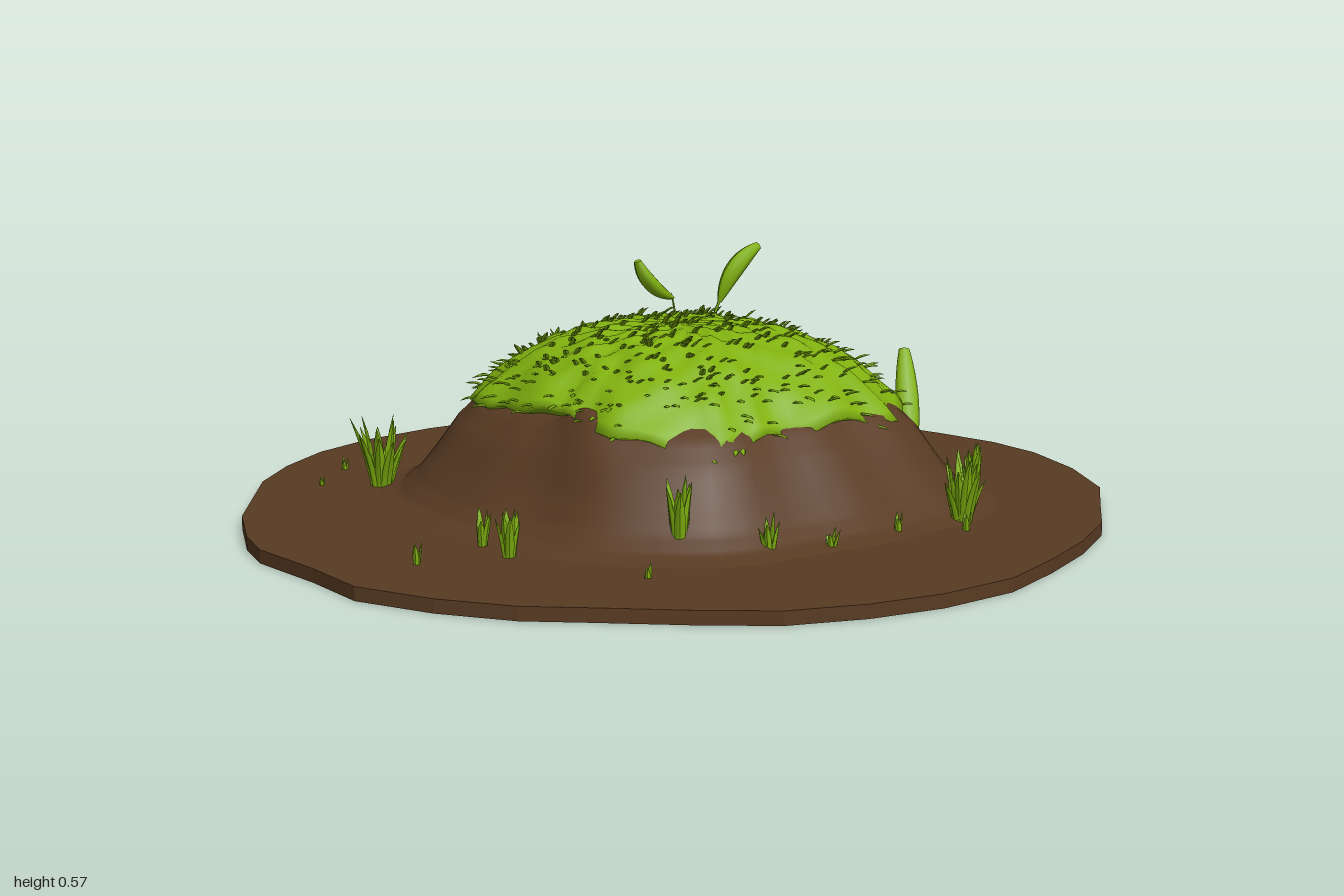
import * as THREE from 'three';
import { mergeGeometries, mergeVertices } from 'three/addons/utils/BufferGeometryUtils.js';

const V = (x, y, z) => new THREE.Vector3(x, y, z);
const TAU = Math.PI * 2;
const CX = 0.03, CZ = -0.03; // centre of the mound

// Seeded random numbers
let seed = 7;
const rnd = () => {
  seed = (seed * 16807) % 2147483647;
  return seed / 2147483647;
};
const spread = (s) => (rnd() * 2 - 1) * s;

// Sixteen values around a circle, from +x towards +z
function around(list, a) {
  const n = list.length;
  const f = (((a / TAU) % 1 + 1) % 1) * n;
  const i = Math.floor(f) % n, k = f - Math.floor(f);
  const s = k * k * (3 - 2 * k);
  return list[i] * (1 - s) + list[(i + 1) % n] * s;
}
const capRadius = [0.45, 0.48, 0.5, 0.43, 0.41, 0.46, 0.45, 0.4, 0.42, 0.46, 0.475, 0.44, 0.43, 0.47, 0.49, 0.44];
const capEdge = [0.24, 0.24, 0.225, 0.25, 0.24, 0.215, 0.245, 0.28, 0.27, 0.25, 0.24, 0.24, 0.24, 0.23, 0.25, 0.24];

// Closed dome from rings: rule(angle, v), v = 0 at the middle, 1 at the rim
function dome(nu, nv, rule) {
  const g = new THREE.PlaneGeometry(1, 1, nu, nv);
  const p = g.attributes.position;
  for (let i = 0; i < p.count; i++) {
    const u = (p.getX(i) + 0.5) % 1;
    const q = rule(-u * TAU, 0.5 - p.getY(i));
    p.setXYZ(i, q.x, q.y, q.z);
  }
  g.deleteAttribute('uv');
  g.deleteAttribute('normal');
  const m = mergeVertices(g, 1e-5);
  m.computeVertexNormals();
  return m;
}
const polar = (a, r, y) => V(CX + Math.cos(a) * r, y, CZ + Math.sin(a) * r);

// Bump of height 1 centred on the angle c
const ridge = (a, c) => Math.exp((Math.cos(a - c) - 1) / 0.0125);

// Piecewise profile of the soil: distance beyond the grass edge, height
const slope = [[-0.06, 0.28], [0, 0.245], [0.05, 0.195], [0.1, 0.125], [0.14, 0.075], [0.18, 0.042], [0.25, 0.025]];
function soilPoint(a, v) {
  const R = around(capRadius, a);
  if (v < 0.2) return polar(a, (R - 0.06) * v / 0.2, 0.34 - 0.06 * (v / 0.2) ** 2);
  const f = (v - 0.2) / 0.8 * (slope.length - 1);
  const i = Math.min(Math.floor(f), slope.length - 2), k = f - i;
  const off = slope[i][0] * (1 - k) + slope[i + 1][0] * k;
  const y = slope[i][1] * (1 - k) + slope[i + 1][1] * k;
  // two raised ridges of bare soil
  const raised = (ridge(a, 2.62) * 0.05 + ridge(a, 5.6) * 0.03) * Math.max(0, 1 - Math.abs(off) / 0.1);
  return polar(a, R + off, y + raised);
}

// Grass dome, tucked back in below its rim
function capPoint(a, v) {
  const R = around(capRadius, a), e = around(capEdge, a);
  const t = Math.min(v / 0.9, 1);
  const wob = 0.004 * Math.sin(a * 11 + v * 23) + 0.003 * Math.sin(a * 19 - v * 31);
  const jag = t * t * 0.007 * Math.sin(a * 17 + Math.sin(a * 7) * 2);
  const p = polar(a, t * (R + 0.012 + jag), e + jag + (0.423 - e) * (1 - t ** 3.1) + wob * Math.min(1, t * 3));
  if (v > 0.9) {
    const k = (v - 0.9) / 0.1;
    p.x -= Math.cos(a) * 0.06 * k;
    p.z -= Math.sin(a) * 0.06 * k;
    p.y -= 0.02 * k;
  }
  return p;
}

// Tapered, bent blade running from base to tip
function blade(base, tip, width, bend, { flat = 0.4, leaf = false, sides = 5, steps = 5, face = null } = {}) {
  const curve = new THREE.QuadraticBezierCurve3(base, base.clone().lerp(tip, 0.5).add(bend), tip);
  const g = new THREE.CylinderGeometry(1, 1, 1, sides, steps);
  const p = g.attributes.position;
  const axis = tip.clone().sub(base).normalize();
  const ref = face || V(axis.z + 0.01, 0, -axis.x + 0.02);
  for (let i = 0; i < p.count; i++) {
    const t = p.getY(i) + 0.5;
    const tan = curve.getTangent(t);
    const nrm = ref.clone().cross(tan).normalize();
    const side = tan.clone().cross(nrm).normalize();
    const w = width * (leaf ? 0.2 + 0.8 * Math.sin(Math.PI * Math.min(1, t * 0.92)) ** 0.8 : 0.7 + 0.6 * t - 1.22 * t ** 3);
    const q = curve.getPoint(t).addScaledVector(side, p.getX(i) * w).addScaledVector(nrm, p.getZ(i) * w * flat);
    p.setXYZ(i, q.x, q.y, q.z);
  }
  g.computeVertexNormals();
  return g;
}

// Fan of blades growing from one spot
function tuft(x, z, y, h, r, n) {
  const list = [];
  for (let i = 0; i < n; i++) {
    const a = i * 2.4 + spread(0.3);
    const out = r * (n < 4 ? 0.6 : 0.35 + 0.65 * ((i + 1) / n));
    const d = V(Math.cos(a), 0, Math.sin(a));
    const base = V(x, y - 0.015, z).addScaledVector(d, r * 0.25);
    const tip = V(x, y + h * (1 - 0.4 * rnd() * (i > 0 ? 1 : 0)), z).addScaledVector(d, out);
    list.push(blade(base, tip, Math.min(0.018, 0.006 + h * 0.06), d.clone().multiplyScalar(-r * 0.2)));
  }
  return mergeGeometries(list);
}

export function createModel() {
  const group = new THREE.Group();
  const soil = new THREE.MeshStandardMaterial({ color: 0x593b23 });
  soil.name = 'soil brown';
  const grass = new THREE.MeshStandardMaterial({ color: 0x80b10f });
  grass.name = 'grass green';
  const add = (name, geometry, material) => {
    const m = new THREE.Mesh(geometry, material);
    m.name = name;
    group.add(m);
  };

  // Irregular flat ground disc
  const rim = [
    [0.03, -0.99], [0.2, -0.97], [0.36, -0.93], [0.52, -0.86], [0.64, -0.77], [0.76, -0.63], [0.85, -0.47], [0.93, -0.28],
    [0.985, -0.12], [1, 0.03], [0.97, 0.22], [0.9, 0.41], [0.79, 0.55], [0.69, 0.68], [0.55, 0.79], [0.4, 0.88], [0.24, 0.96],
    [0.05, 0.99], [-0.12, 0.98], [-0.29, 0.94], [-0.44, 0.85], [-0.6, 0.74], [-0.72, 0.66], [-0.84, 0.53], [-0.94, 0.37],
    [-0.96, 0.2], [-1, 0], [-0.985, -0.12], [-0.93, -0.3], [-0.85, -0.45], [-0.77, -0.6], [-0.66, -0.73], [-0.53, -0.84],
    [-0.37, -0.92], [-0.18, -0.97],
  ];
  const shape = new THREE.Shape(rim.map(([x, z]) => new THREE.Vector2(x, -z)));
  add('groundDisc', new THREE.ExtrudeGeometry(shape, { depth: 0.03, bevelEnabled: false }).rotateX(-Math.PI / 2), soil);

  add('soilMound', dome(64, 30, soilPoint), soil);
  add('grassCap', dome(96, 30, capPoint), grass);

  // Short blades combed forward over the cap
  const fuzz = [];
  for (let i = 0; i < 520; i++) {
    const a = rnd() * TAU, v = 0.9 * Math.sqrt(rnd());
    const base = capPoint(a, v);
    const steep = (v / 0.9) ** 3;
    const dir = V(Math.cos(a) * steep * 0.8 + spread(0.25), 0.35 - steep * 0.5 + spread(0.15), Math.sin(a) * steep * 0.8 + 0.7 * (1 - steep));
    const tip = base.clone().addScaledVector(dir.normalize(), 0.025 + rnd() * 0.02);
    base.y -= 0.004;
    fuzz.push(blade(base, tip, 0.008, V(0, 0.006, 0), { sides: 4, steps: 3 }));
  }
  add('capBlades', mergeGeometries(fuzz), grass);

  // Two leafy sprouts on top
  const Z = -0.185, front = V(0, 0, 1);
  add('sprouts', mergeGeometries([
    blade(V(0.1, 0.455, Z), V(0.005, 0.548, Z), 0.024, V(-0.02, -0.022, 0), { leaf: true, flat: 0.75, face: front, steps: 10, sides: 8 }),
    blade(V(0.11, 0.39, Z), V(0.095, 0.47, Z), 0.005, V(0, 0, 0), { face: front }),
    blade(V(0.225, 0.435, Z), V(0.33, 0.563, Z), 0.026, V(-0.022, 0.025, 0), { leaf: true, flat: 0.8, face: front, steps: 10, sides: 8 }),
    blade(V(0.2, 0.38, Z), V(0.24, 0.475, Z), 0.007, V(0, 0, 0), { face: front }),
  ]), grass);

  // Tall blade beside the mound
  add('tallBlade', blade(V(0.595, 0.05, 0.085), V(0.655, 0.308, -0.04), 0.028, V(-0.01, 0, 0.015), { leaf: true, flat: 0.6, steps: 10, sides: 8 }), grass);

  // Tufts around the mound: x, z, base height, height, radius, blades
  [
    [-0.1, -0.68, 0.03, 0.17, 0.085, 16], [-0.54, -0.43, 0.03, 0.165, 0.075, 14], [0.69, -0.31, 0.03, 0.125, 0.065, 14],
    [0.43, 0.52, 0.03, 0.15, 0.06, 12], [0.62, 0.29, 0.03, 0.11, 0.035, 7], [-0.26, 0.48, 0.06, 0.14, 0.04, 8],
    [0.61, 0.06, 0.04, 0.1, 0.035, 6], [-0.09, 0.56, 0.03, 0.09, 0.025, 5], [0.05, 0.58, 0.03, 0.045, 0.02, 4],
    [0.24, 0.55, 0.03, 0.05, 0.015, 3], [-0.57, 0.31, 0.03, 0.1, 0.035, 7], [-0.58, 0.2, 0.04, 0.07, 0.025, 4],
    [-0.76, 0.27, 0.03, 0.045, 0.018, 3], [0.39, 0.59, 0.03, 0.04, 0.02, 3], [-0.4, 0.6, 0.03, 0.03, 0.012, 3],
    [0, -0.585, 0.03, 0.09, 0.032, 7], [0.22, -0.7, 0.03, 0.05, 0.022, 5], [0.4, -0.6, 0.03, 0.06, 0.025, 5],
    [0.76, 0.09, 0.03, 0.03, 0.012, 3], [0.02, -0.84, 0.03, 0.03, 0.014, 3], [0.07, -0.88, 0.03, 0.03, 0.01, 3],
    [-0.46, -0.7, 0.03, 0.03, 0.012, 3], [-0.55, -0.63, 0.03, 0.03, 0.014, 3], [-0.66, -0.5, 0.03, 0.02, 0.01, 2],
  ].forEach(([x, z, y, h, r, n]) => add('grassTuft', tuft(x, z, y, h, r, n), grass));

  return group;
}
